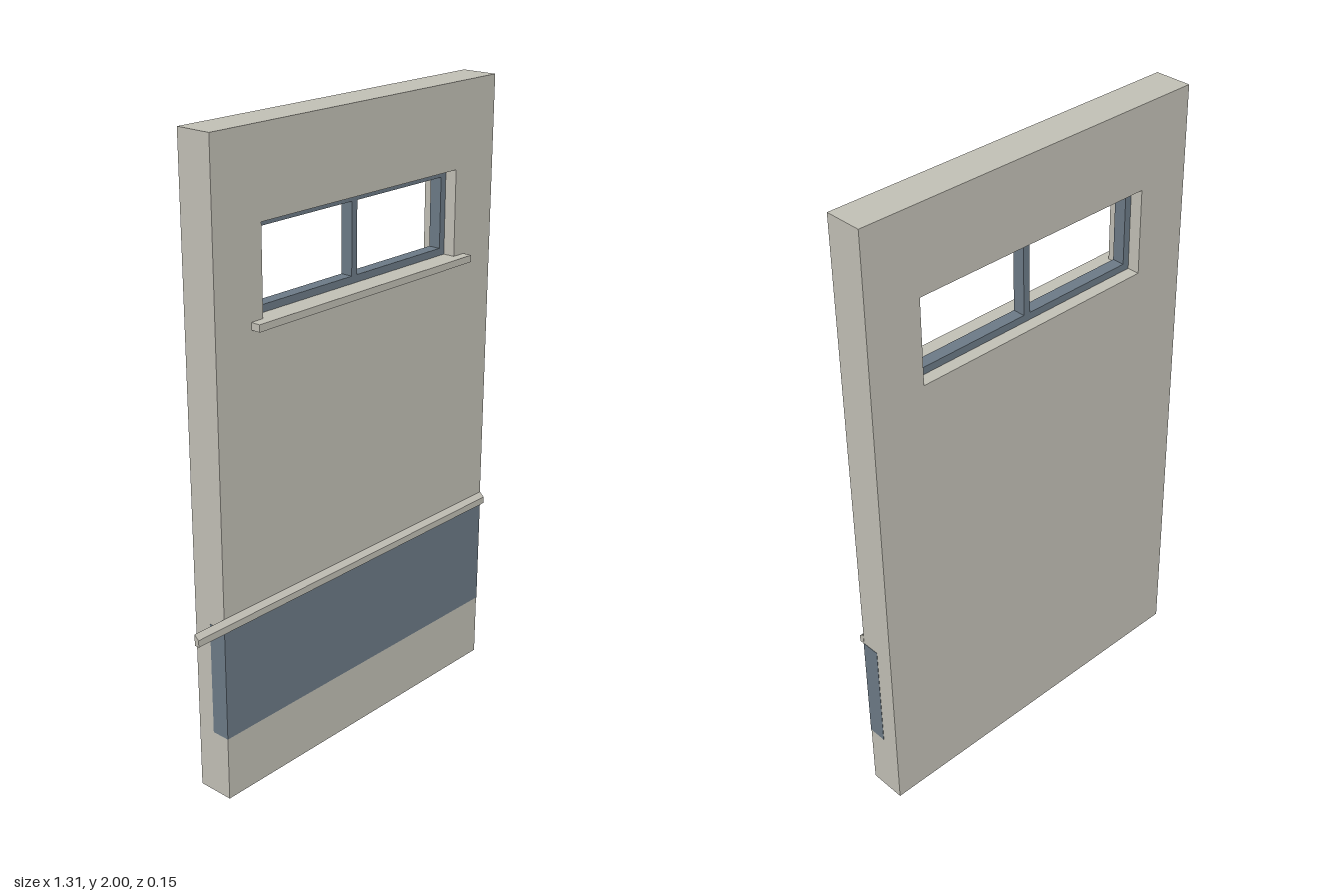
import * as THREE from 'three';

const wallPaint = new THREE.MeshStandardMaterial({ color: 0xc0beb4 });
wallPaint.name = 'warm grey';
const bluePaint = new THREE.MeshStandardMaterial({ color: 0x6b7985 });
bluePaint.name = 'slate blue';

// Box given by its minimum and maximum corners
function box(name, material, [x0, y0, z0], [x1, y1, z1]) {
  const mesh = new THREE.Mesh(new THREE.BoxGeometry(x1 - x0, y1 - y0, z1 - z0), material);
  mesh.position.set((x0 + x1) / 2, (y0 + y1) / 2, (z0 + z1) / 2);
  mesh.name = name;
  return mesh;
}

function rectangle(PathType, x0, y0, x1, y1) {
  const path = new PathType();
  path.moveTo(x0, y0);
  path.lineTo(x1, y0);
  path.lineTo(x1, y1);
  path.lineTo(x0, y1);
  path.closePath();
  return path;
}

// Upright plate between z0 and z1 with rectangular holes
function plate(name, material, outline, holes, z0, z1) {
  const shape = rectangle(THREE.Shape, ...outline);
  holes.forEach((hole) => shape.holes.push(rectangle(THREE.Path, ...hole)));
  const geometry = new THREE.ExtrudeGeometry(shape, { depth: z1 - z0, bevelEnabled: false });
  const mesh = new THREE.Mesh(geometry, material);
  mesh.position.z = z0;
  mesh.name = name;
  return mesh;
}

export function createModel() {
  const model = new THREE.Group();
  model.name = 'wallPanel';

  // Wall slab with the window opening
  const left = -0.54, right = 0.654, back = -0.075, front = 0.044;
  const opening = [-0.36, 1.465, 0.475, 1.735];
  model.add(plate('wall', wallPaint, [left, 0, right, 2], [opening], back, front));

  // Two-light window frame, set back in the opening
  const windowGroup = new THREE.Group();
  windowGroup.name = 'window';
  const panes = [[-0.337, 1.488, 0.046, 1.71], [0.069, 1.488, 0.452, 1.71]];
  windowGroup.add(plate('windowFrame', bluePaint, opening, panes, -0.035, 0.005));
  model.add(windowGroup);

  // Projecting window sill
  model.add(box('windowSill', wallPaint, [-0.405, 1.443, front], [0.522, 1.465, 0.075]));

  // Painted band on the front, wrapping a little way round both ends
  const t = 0.001;
  model.add(box('frontBand', bluePaint, [left - t, 0.208, front], [right + t, 0.572, front + t]));
  model.add(box('leftBand', bluePaint, [right, 0.208, -0.015], [right + t, 0.572, front]));
  model.add(box('rightBand', bluePaint, [left - t, 0.208, -0.015], [left, 0.572, front]));

  // Rail with a sloping top, running past the wall on one side
  const profile = new THREE.Shape();
  profile.moveTo(-front, 0.572);
  profile.lineTo(-0.06, 0.572);
  profile.lineTo(-0.06, 0.594);
  profile.lineTo(-front, 0.608);
  profile.closePath();
  const railGeometry = new THREE.ExtrudeGeometry(profile, { depth: 1.31, bevelEnabled: false });
  railGeometry.rotateY(Math.PI / 2);
  const rail = new THREE.Mesh(railGeometry, wallPaint);
  rail.position.x = -0.655;
  rail.name = 'rail';
  model.add(rail);

  return model;
}
